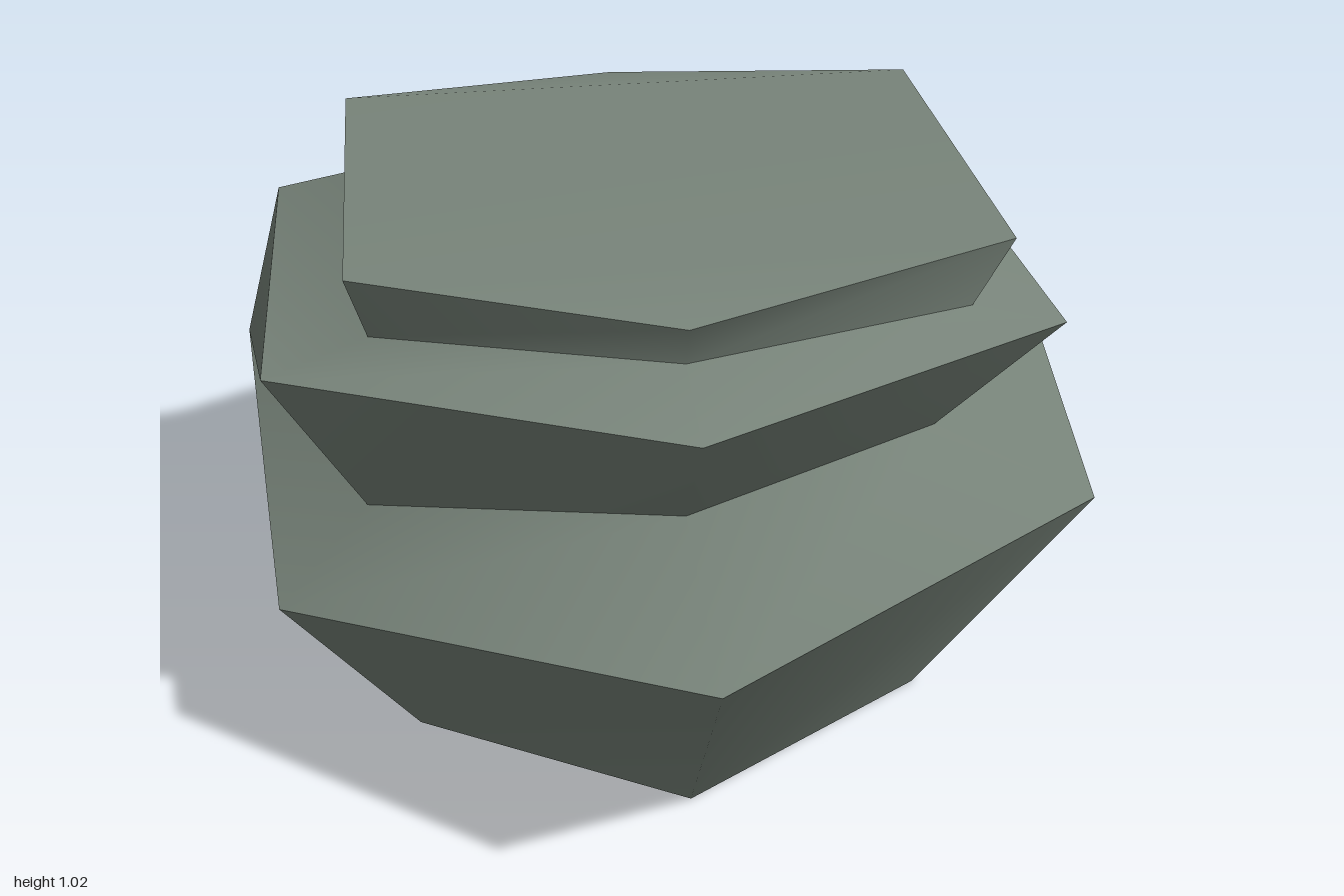
import * as THREE from 'three';

// Six-sided rings, counter-clockwise from above:
// front, left front, left back, back, right back, right front
const base = [[-0.05, 0, 0.63], [0.43, 0, 0.36], [0.59, 0, -0.39], [0.03, 0, -0.7], [-0.63, 0, -0.29], [-0.53, 0, 0.35]];
const bulge = [[-0.06, 0.54, 1], [0.68, 0.53, 0.54], [0.84, 0.53, -0.56], [0.05, 0.52, -1], [-0.84, 0.46, -0.42], [-0.755, 0.375, 0.46]];
// The waist notch runs out into the bulge at the back
const waist = [[-0.06, 0.615, 0.62], [0.43, 0.6, 0.37], bulge[2], bulge[3], bulge[4], [-0.59, 0.52, 0.37]];
const shoulder = [[-0.06, 0.855, 0.79], [0.61, 0.86, 0.49], [0.61, 0.815, -0.35], [0, 0.815, -0.62], [-0.74, 0.815, -0.35], [-0.735, 0.855, 0.49]];
const neck = [[-0.06, 0.9, 0.61], [0.445, 0.9, 0.48], [0.445, 0.9, -0.23], [-0.05, 0.9, -0.43], [-0.56, 0.9, -0.23], [-0.56, 0.9, 0.45]];
const rim = [[-0.06, 0.98, 0.645], [0.51, 1.02, 0.48], [0.51, 1.02, -0.29], [-0.06, 0.98, -0.46], [-0.59, 1.02, -0.29], [-0.59, 1.02, 0.48]];

// Columns of each side; panels are smooth inside and sharp at their borders
const FRONT = [5, 0, 1], LEFT = [1, 2], BACK = [2, 3, 4], RIGHT = [4, 5];
const AROUND_FRONT = [4, 5, 0, 1, 2];

export function createModel() {
  const group = new THREE.Group();
  const stone = new THREE.MeshStandardMaterial({ color: 0x78847a, side: THREE.DoubleSide });
  stone.name = 'stone grey';

  const addMesh = (name, points, index) => {
    const geometry = new THREE.BufferGeometry();
    geometry.setAttribute('position', new THREE.Float32BufferAttribute(points.flat(), 3));
    geometry.setIndex(index);
    geometry.computeVertexNormals();
    const mesh = new THREE.Mesh(geometry, stone);
    mesh.name = name;
    group.add(mesh);
  };

  // Surface through the chosen columns of a stack of rings
  const addPanel = (name, rings, columns) => {
    const n = columns.length;
    const points = rings.flatMap(ring => columns.map(c => ring[c]));
    const index = [];
    const triangle = (a, b, c) => {
      if (points[a] !== points[b] && points[b] !== points[c] && points[a] !== points[c]) index.push(a, b, c);
    };
    for (let r = 0; r < rings.length - 1; r++) {
      for (let c = 0; c < n - 1; c++) {
        const a = r * n + c, b = a + 1, d = a + n, e = d + 1;
        triangle(a, b, e);
        triangle(a, e, d);
      }
    }
    addMesh(name, points, index);
  };

  // Walls, split at the four hard corners
  const walls = [['lower', base, bulge], ['upper', waist, shoulder], ['neck', neck, rim]];
  for (const [name, low, high] of walls) {
    addPanel(name + 'FrontWall', [low, high], FRONT);
    addPanel(name + 'LeftWall', [low, high], LEFT);
    addPanel(name + 'RightWall', [low, high], RIGHT);
  }

  // Ledges round the front and sides
  addPanel('lowerLedge', [bulge, waist], AROUND_FRONT);
  addPanel('upperLedge', [shoulder, neck], AROUND_FRONT);

  // Rounded back and the neck behind it
  addPanel('back', [base, bulge, shoulder, neck], BACK);
  addPanel('neckBackWall', [neck, rim], BACK);

  // Top slab, dipping at the front and back points
  addMesh('top', rim, [5, 0, 1, 5, 1, 2, 5, 2, 4, 4, 2, 3]);

  return group;
}
